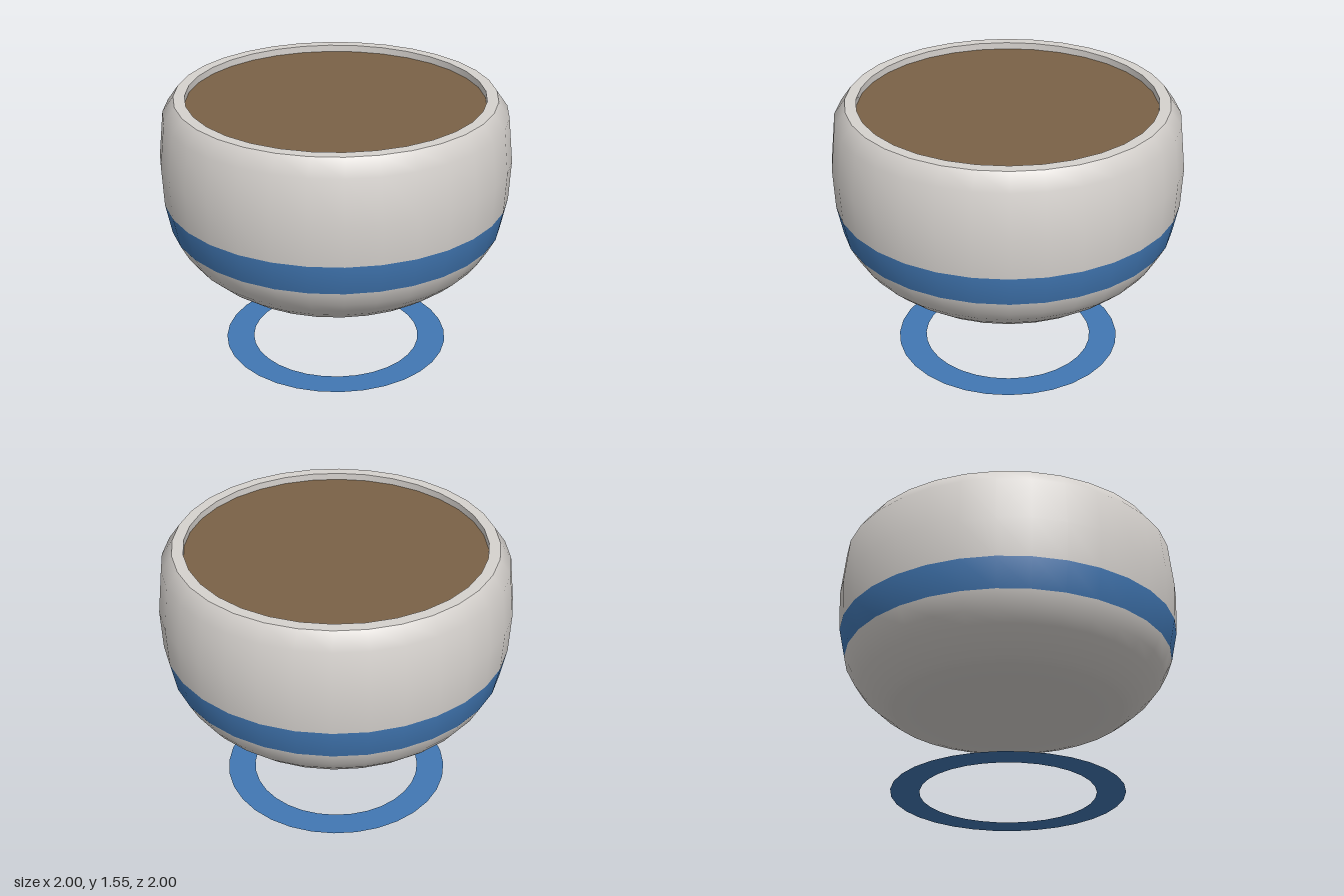
import * as THREE from 'three';

const SEGMENTS = 32;

function material(name, color) {
  const m = new THREE.MeshStandardMaterial({ color });
  m.name = name;
  return m;
}

function lathe(points) {
  return new THREE.LatheGeometry(points.map(([r, y]) => new THREE.Vector2(r, y)), SEGMENTS);
}

export function createModel() {
  const model = new THREE.Group();
  model.name = 'bowl';

  const glaze = material('paleGreyGlaze', 0xd6d2ce);
  const blue = material('blueGlaze', 0x4177b3);
  const brown = material('brownLiquid', 0x7a6247);
  blue.side = THREE.DoubleSide;

  function add(name, geometry, mat) {
    const mesh = new THREE.Mesh(geometry, mat);
    mesh.name = name;
    model.add(mesh);
    return mesh;
  }

  // Outer wall: one smooth profile from the underside to the lip
  const profile = [
    [0, 0.49], [0.53, 0.49], [0.65, 0.497], [0.71, 0.515], [0.79, 0.575],
    [0.86, 0.64], [0.905, 0.7], [0.955, 0.795], [0.99, 0.97],
    [1, 1.2], [0.972, 1.46], [0.908, 1.55],
  ];
  const wall = lathe(profile);
  // The painted band is the strip between profile points 7 and 8
  const strips = profile.length - 1;
  const band = 7;
  for (let i = 0; i < SEGMENTS; i++) {
    const start = i * strips * 6;
    wall.addGroup(start, band * 6, 0);
    wall.addGroup(start + band * 6, 6, 1);
    wall.addGroup(start + (band + 1) * 6, (strips - band - 1) * 6, 0);
  }
  add('bowlWall', wall, [glaze, blue]);

  // Flat rim and the short visible inner wall
  add('rim', lathe([[0.908, 1.55], [0.845, 1.55]]), glaze);
  add('innerWall', lathe([[0.845, 1.55], [0.845, 1.5]]), glaze);

  // Liquid surface just below the rim
  const liquid = add('liquidSurface', new THREE.CircleGeometry(0.845, SEGMENTS), brown);
  liquid.rotation.x = -Math.PI / 2;
  liquid.position.y = 1.51;

  // Flat foot ring lying below the bowl
  const ring = add('footRing', new THREE.RingGeometry(0.497, 0.66, SEGMENTS), blue);
  ring.rotation.x = -Math.PI / 2;

  return model;
}
